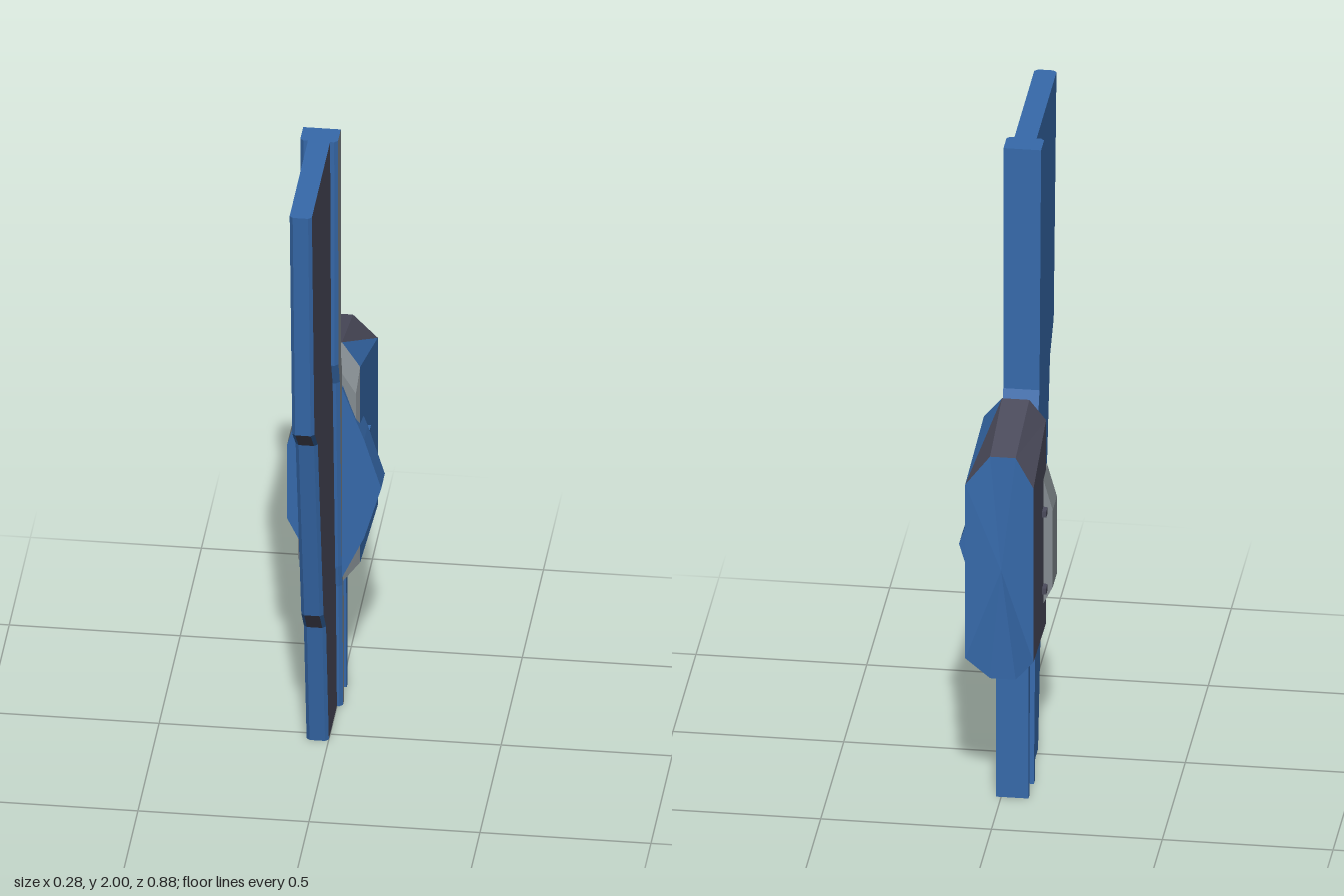
import * as THREE from 'three';

const mat = (name, color) => Object.assign(new THREE.MeshStandardMaterial({ color }), { name });

export function createModel() {
  const model = new THREE.Group();
  model.name = 'finAssembly';
  const BLUE = 0, SLATE = 1, GREY = 2;
  const materials = [mat('blue', 0x3669aa), mat('slate', 0x4b4b5c), mat('grey', 0x858d92)];

  // Joins a list of rings into a closed flat-faced body.
  // paint(segment, side, half) gives each facet's colour; caps = [first, last].
  function loft(name, rings, paint, caps) {
    const buckets = [[], [], []];
    const mean = pts => pts.reduce((s, p) => s.add(p), new THREE.Vector3()).divideScalar(pts.length);
    const R = rings.map(r => r.map(p => new THREE.Vector3(...p)));
    const tri = (a, b, c, centre, m) => {
      const n = b.clone().sub(a).cross(c.clone().sub(a));
      const out = mean([a, b, c]).sub(centre);
      const list = n.dot(out) >= 0 ? [a, b, c] : [a, c, b];
      list.forEach(p => buckets[m].push(p.x, p.y, p.z));
    };
    for (let i = 0; i < R.length - 1; i++) {
      const A = R[i], B = R[i + 1], centre = mean([...A, ...B]);
      A.forEach((a, j) => {
        const k = (j + 1) % A.length;
        tri(a, A[k], B[k], centre, paint(i, j, 0));
        tri(a, B[k], B[j], centre, paint(i, j, 1));
      });
    }
    const last = R.length - 1;
    [[0, 1], [last, last - 1]].forEach(([end, next], e) => {
      const hub = mean(R[end]), centre = mean([...R[end], ...R[next]]);
      R[end].forEach((p, j) => tri(p, R[end][(j + 1) % R[end].length], hub, centre, caps[e]));
    });
    const g = new THREE.BufferGeometry();
    g.setAttribute('position', new THREE.Float32BufferAttribute(buckets.flat(), 3));
    let start = 0;
    buckets.forEach((b, m) => {
      if (b.length) g.addGroup(start, b.length / 3, m);
      start += b.length / 3;
    });
    g.computeVertexNormals();
    const mesh = new THREE.Mesh(g, materials);
    mesh.name = name;
    model.add(mesh);
    return mesh;
  }

  // Horizontal section with chamfered front corners
  const section = (x0, x1, y, back, front, c = 0.01) => [
    [x0, y, back], [x0, y, front - c], [x0 + c, y, front],
    [x1 - c, y, front], [x1, y, front - c], [x1, y, back],
  ];

  // Stations: height, blade edge, spar front, spar back
  const stations = [
    [0, 0.04, -0.16, -0.195], [0.42, 0.105, -0.135, -0.175], [0.495, 0.165, -0.12, -0.155],
    [1.15, 0.30, -0.06, -0.125], [1.23, 0.38, -0.025, -0.095], [2, 0.44, 0, -0.075],
  ];

  // Swept blade: slate on its left side and on the stepped edge faces
  loft('blade',
    stations.map(([y, edge, front]) => section(-0.065, 0, y, front - 0.025, edge)),
    (i, j) => (j === 4 || ((i === 1 || i === 3) && j === 2) ? SLATE : BLUE),
    [SLATE, BLUE]);

  // Spar behind the blade: grey on its left side
  loft('spar',
    stations.map(([y, , front, back]) => {
      const w = 0.005 * (1 - y / 2);
      return section(-0.088 + w, 0.022 - w, y, back, front);
    }),
    (i, j) => (j === 4 ? GREY : BLUE),
    [BLUE, BLUE]);

  // Lower rear strut
  const strutRing = (y, z0, z1) => [[-0.08, y, z0], [-0.08, y, z1], [0.015, y, z1], [0.015, y, z0]];
  loft('rearStrut', [strutRing(0, -0.29, -0.27), strutRing(0.5, -0.285, -0.255)], () => BLUE, [BLUE, BLUE]);

  // Eight-sided housing, from front to back
  const octagon = (x, nx, y, ny, zWide, zNarrow) => [
    [nx[0], ny[1], zNarrow], [nx[1], ny[1], zNarrow], [x[1], y[1], zWide], [x[1], y[0], zWide],
    [nx[1], ny[0], zNarrow], [nx[0], ny[0], zNarrow], [x[0], y[0], zWide], [x[0], y[1], zWide],
  ];
  const housingSides = [SLATE, BLUE, BLUE, BLUE, BLUE, SLATE, SLATE, SLATE];
  loft('housing', [
    octagon([-0.09, 0.06], [-0.055, 0.01], [0.57, 1.08], [0.5, 1.15], -0.125, -0.14),
    octagon([-0.112, 0.07], [-0.065, 0.015], [0.5, 1.16], [0.42, 1.23], -0.145, -0.16),
    octagon([-0.115, 0.085], [-0.06, 0.015], [0.52, 1.085], [0.45, 1.17], -0.44, -0.42),
  ], (i, j, half) => {
    if (i === 0) return GREY;
    return j === 1 && half === 1 ? SLATE : housingSides[j];
  }, [GREY, BLUE]);

  // Side fins wrapped around the front of the housing
  const fin = (outline, z0, z1) => [outline.map(([x, y]) => [x, y, z1]), outline.map(([x, y]) => [x, y, z0])];
  loft('leftFin',
    fin([[0.02, 1.1], [0.085, 0.93], [0.135, 0.77], [0.085, 0.6], [0.02, 0.46]], -0.203, -0.118),
    () => BLUE, [BLUE, BLUE]);
  loft('rightFin',
    fin([[-0.06, 1.08], [-0.112, 1.0], [-0.14, 0.9], [-0.14, 0.65], [-0.105, 0.58], [-0.06, 0.53]], -0.208, -0.116),
    () => GREY, [BLUE, GREY]);

  // Small pegs at the rear of the fins
  for (const x of [-0.118, 0.083]) {
    for (const y of [0.65, 0.9]) {
      const peg = new THREE.Mesh(new THREE.BoxGeometry(0.014, 0.02, 0.06), materials[x > 0 ? BLUE : SLATE]);
      peg.position.set(x, y, -0.208);
      peg.name = 'finPeg';
      model.add(peg);
    }
  }
  return model;
}
